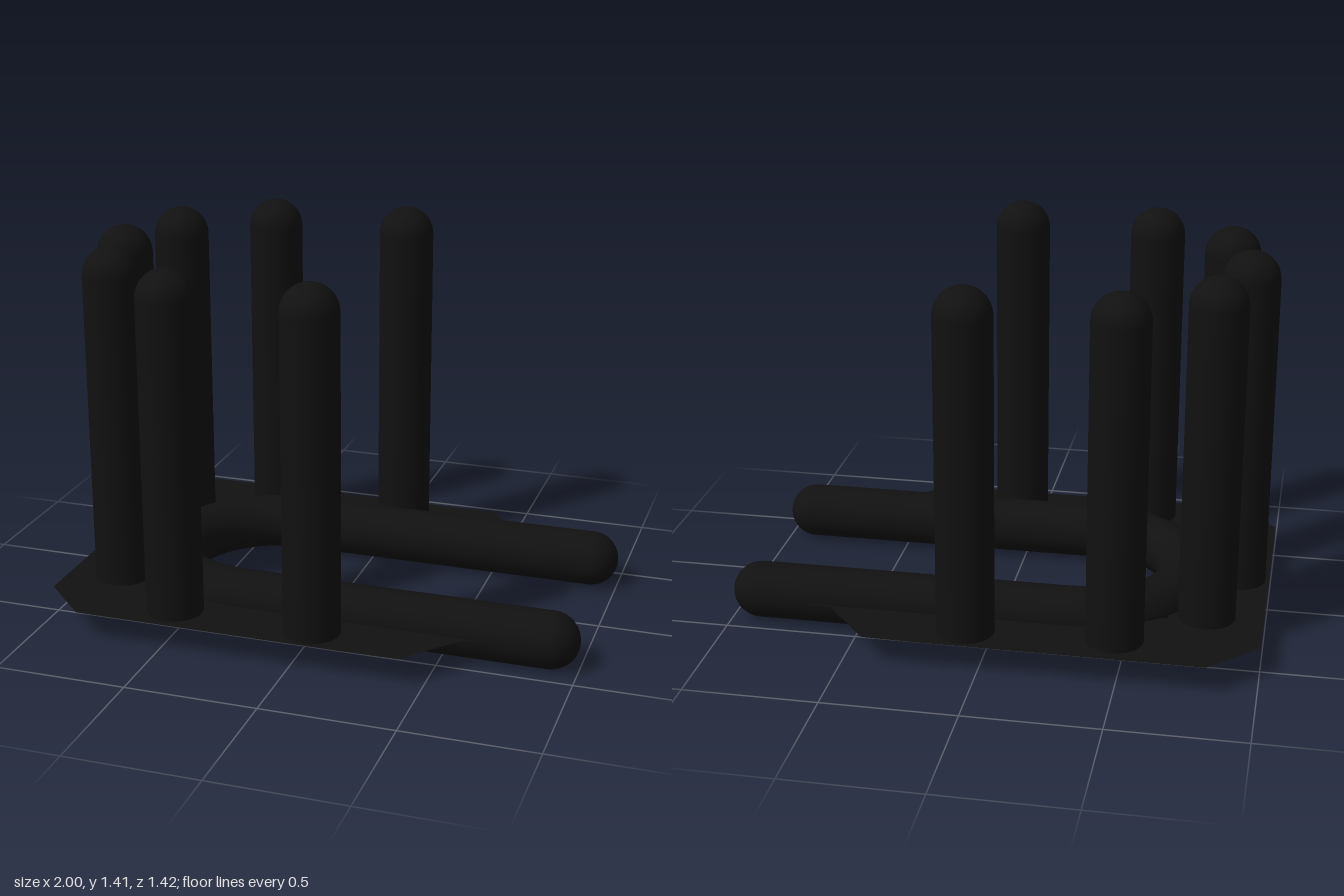
import * as THREE from 'three';

const R = 0.106; // shared radius of the rail and the posts

export function createModel() {
  const group = new THREE.Group();
  const black = new THREE.MeshStandardMaterial({ color: 0x111111 });
  const sheet = new THREE.MeshStandardMaterial({ color: 0x111111, side: THREE.DoubleSide });

  const add = (name, geometry, material = black) => {
    const mesh = new THREE.Mesh(geometry, material);
    mesh.name = name;
    group.add(mesh);
    return mesh;
  };

  // U-shaped rail: two straight arms joined by a half circle
  const armZ = 0.38, bendX = -0.3, endX = 1 - R;
  const at = (x, z) => new THREE.Vector3(x, R, z);
  const rail = new THREE.CurvePath();
  const bend = [];
  const steps = 12;
  for (let i = 0; i <= steps; i++) {
    const a = (i / steps) * Math.PI;
    bend.push(at(bendX - armZ * Math.sin(a), -armZ * Math.cos(a)));
  }
  rail.add(new THREE.LineCurve3(at(endX, -armZ), bend[0]));
  rail.add(new THREE.CatmullRomCurve3(bend));
  rail.add(new THREE.LineCurve3(bend[steps], at(endX, armZ)));
  add('rail', new THREE.TubeGeometry(rail, 64, R, 24));

  // Rounded ends of the rail
  for (const s of [-1, 1]) {
    const cap = add('railEnd', new THREE.SphereGeometry(R, 24, 8, 0, Math.PI * 2, 0, Math.PI / 2));
    cap.rotation.z = -Math.PI / 2;
    cap.position.set(endX, R, s * armZ);
  }

  // Thin base plate around the rail, open towards +x
  const half = [[-1, 0.53], [-0.82, 0.71], [0.22, 0.71], [0.42, 0.705], [0.595, 0.495], [0.72, 0.485], [0.75, 0.36], [-0.65, 0.36]];
  const outline = [...half, ...half.map(([x, z]) => [x, -z]).reverse()];
  const plate = new THREE.ShapeGeometry(new THREE.Shape(outline.map(([x, z]) => new THREE.Vector2(x, z))));
  plate.rotateX(Math.PI / 2);
  plate.translate(0, 0.112, 0);
  add('basePlate', plate, sheet);

  // Upright posts with domed tops
  const bottom = 0.113, shoulder = 1.415 - R;
  const profile = [new THREE.Vector2(0, bottom), new THREE.Vector2(R, bottom), new THREE.Vector2(R, bottom)];
  for (let i = 0; i <= 10; i++) {
    const a = (i / 10) * Math.PI / 2;
    profile.push(new THREE.Vector2(R * Math.cos(a), shoulder + R * Math.sin(a)));
  }
  const post = new THREE.LatheGeometry(profile, 28);
  const spots = [[-0.88, 0.027], [-0.79, -0.318], [-0.79, 0.347], [-0.48, -0.562], [-0.48, 0.575], [0.06, -0.59], [0.06, 0.592]];
  for (const [x, z] of spots) add('post', post).position.set(x, 0, z);

  return group;
}
